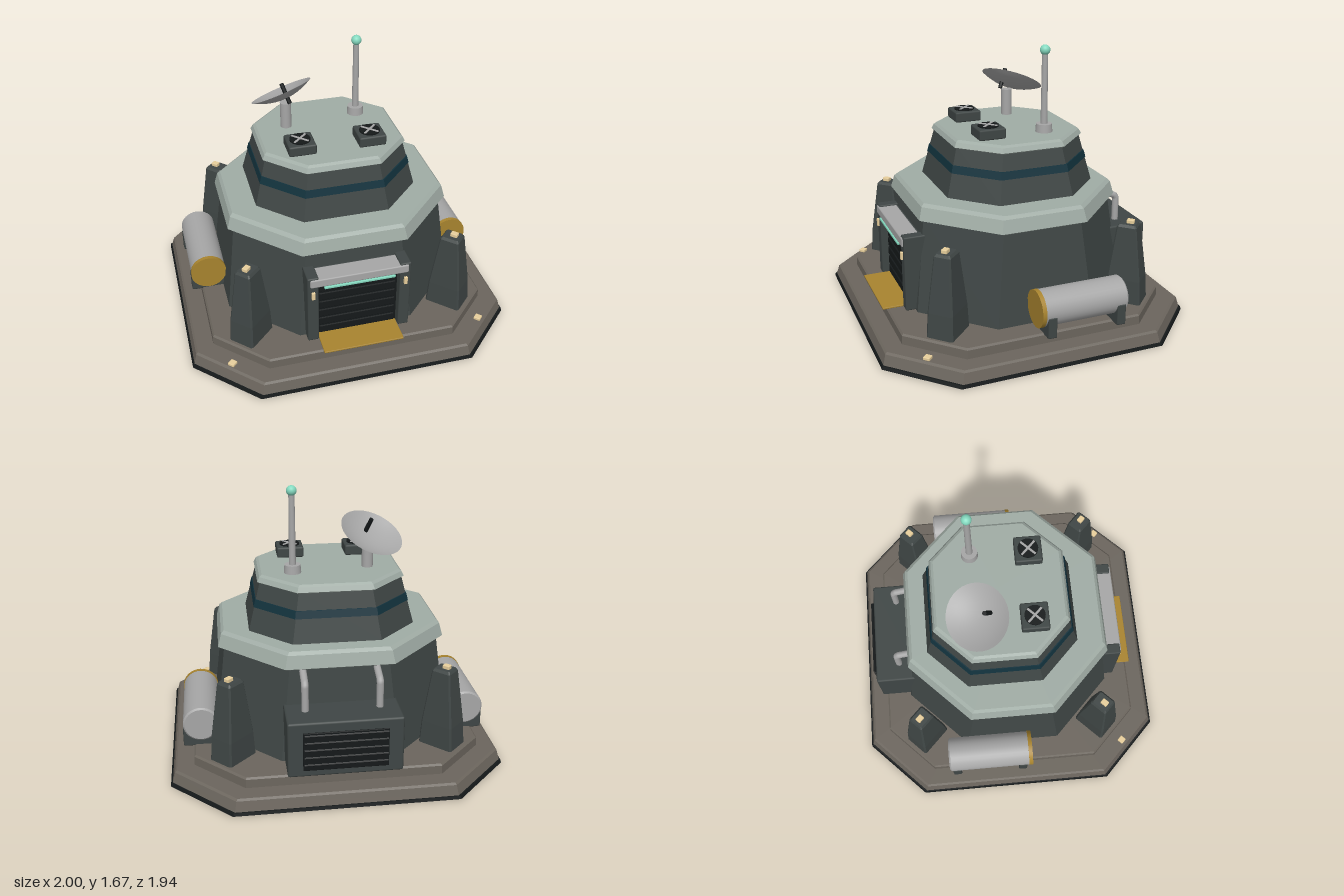
import * as THREE from 'three';
import { RoundedBoxGeometry } from 'three/addons/geometries/RoundedBoxGeometry.js';

const mat = (color, extra = {}) => {
  const m = new THREE.MeshStandardMaterial(extra);
  m.color.setHex(color);
  return m;
};
const flat = { flatShading: true };
const M = {
  wall: mat(0x3f4645, flat), trim: mat(0xa0aca5, flat), stone: mat(0x6b655d, flat),
  black: mat(0x15191a, flat), band: mat(0x12323d, flat), metal: mat(0xa6a6a6),
  dark: mat(0x3f4645), gold: mat(0xa8842f), glow: mat(0x84d9bf), lamp: mat(0xe8cf9c),
  dish: mat(0xa6a6a6, { side: THREE.DoubleSide }),
};

// Stack of chamfered rectangles; each level is [y, halfX, halfZ, chamfer]
function loft(levels) {
  const rings = levels.map(([y, w, d, c]) => [
    [w, d - c], [w - c, d], [c - w, d], [-w, d - c],
    [-w, c - d], [c - w, -d], [w - c, -d], [w, c - d],
  ].map(([x, z]) => [x, y, z]));
  const pos = [];
  const n = 8, top = rings.length - 1;
  for (let i = 0; i < n; i++) {
    const j = (i + 1) % n;
    for (let k = 0; k < top; k++) {
      const a = rings[k][i], b = rings[k][j], c = rings[k + 1][j], d = rings[k + 1][i];
      pos.push(...a, ...d, ...c, ...a, ...c, ...b);
    }
    pos.push(0, levels[top][0], 0, ...rings[top][j], ...rings[top][i]);
    pos.push(0, levels[0][0], 0, ...rings[0][i], ...rings[0][j]);
  }
  const g = new THREE.BufferGeometry();
  g.setAttribute('position', new THREE.Float32BufferAttribute(pos, 3));
  g.computeVertexNormals();
  return g;
}

export function createModel() {
  const root = new THREE.Group();
  const add = (name, geo, material, x = 0, y = 0, z = 0, parent = root) => {
    const m = new THREE.Mesh(geo, material);
    m.name = name;
    m.position.set(x, y, z);
    parent.add(m);
    return m;
  };
  const group = (name, x = 0, y = 0, z = 0) => {
    const g = new THREE.Group();
    g.name = name;
    g.position.set(x, y, z);
    root.add(g);
    return g;
  };
  const box = (w, h, d, r = 0.008) => new RoundedBoxGeometry(w, h, d, 1, r);
  const cyl = (r, h, r2 = r, s = 24) => new THREE.CylinderGeometry(r2, r, h, s);

  // Foundation
  add('foundationRim', loft([[0.002, 1, 0.97, 0.35], [0.02, 0.995, 0.965, 0.35]]), M.black);
  add('foundation', loft([[0, 0.98, 0.95, 0.345], [0.02, 0.988, 0.958, 0.35],
    [0.08, 0.972, 0.942, 0.345], [0.09, 0.96, 0.93, 0.34]]), M.stone);
  add('upperStep', loft([[0.09, 0.86, 0.83, 0.29], [0.142, 0.858, 0.828, 0.29], [0.152, 0.848, 0.818, 0.285]]), M.stone);

  // Main building and roofs
  add('mainWalls', loft([[0.15, 0.72, 0.67, 0.37], [0.72, 0.65, 0.6, 0.36]]), M.wall);
  add('lowerRoof', loft([[0.71, 0.675, 0.62, 0.37], [0.718, 0.687, 0.632, 0.37],
    [0.795, 0.667, 0.613, 0.365], [0.813, 0.65, 0.595, 0.36]]), M.trim);
  add('towerWalls', loft([[0.81, 0.5, 0.47, 0.24], [1.11, 0.424, 0.394, 0.21]]), M.wall, 0, 0, -0.03);
  add('windowBand', loft([[0.955, 0.467, 0.437, 0.225], [1, 0.456, 0.426, 0.22]]), M.band, 0, 0, -0.03);
  add('upperRoof', loft([[1.098, 0.432, 0.402, 0.215], [1.105, 0.44, 0.41, 0.215],
    [1.133, 0.427, 0.397, 0.21], [1.145, 0.412, 0.382, 0.205]]), M.trim, 0, 0, -0.03);

  // Corner buttresses with lamps
  for (const sx of [-1, 1]) for (const sz of [-1, 1]) {
    const g = group('cornerButtress', sx * 0.628, 0, sz * 0.572);
    g.rotation.y = Math.atan2(sx, sz);
    add('buttress', loft([[0.15, 0.083, 0.112, 0.01], [0.3, 0.079, 0.102, 0.01],
      [0.63, 0.053, 0.06, 0.008], [0.645, 0.042, 0.05, 0.006]]), M.wall, 0, 0, 0, g);
    add('buttressLamp', box(0.036, 0.025, 0.045, 0.005), M.lamp, 0, 0.655, 0.012, g);
  }
  // Ground lamps at the front corners
  for (const s of [-1, 1]) {
    add('groundLamp', box(0.042, 0.02, 0.042, 0.005), M.lamp, s * 0.775, 0.098, 0.74).rotation.y = Math.PI / 4;
  }

  // Entrance
  const door = group('entrance');
  add('doorPanel', box(0.5, 0.41, 0.1), M.black, 0, 0.355, 0.63, door);
  for (let i = 0; i < 6; i++) add('doorSlat', box(0.47, 0.052, 0.014, 0.005), M.black, 0, 0.19 + i * 0.063, 0.682, door);
  for (const s of [-1, 1]) {
    add('doorPillar', box(0.068, 0.47, 0.16), M.dark, s * 0.28, 0.387, 0.65, door);
    add('pillarLamp', box(0.022, 0.05, 0.018, 0.004), M.lamp, s * 0.28, 0.5, 0.735, door);
  }
  add('doorLintel', box(0.5, 0.07, 0.13), M.dark, 0, 0.575, 0.64, door);
  add('doorHeader', box(0.595, 0.055, 0.12), M.metal, 0, 0.585, 0.678, door);
  add('doorLight', box(0.43, 0.016, 0.025, 0.004), M.glow, 0, 0.549, 0.73, door);
  add('threshold', box(0.49, 0.012, 0.18, 0.004), M.gold, 0, 0.156, 0.765, door);

  // Side tanks on cradles
  for (const s of [-1, 1]) {
    const g = group('sideTank', s * 0.81, 0.293, 0);
    const prof = [[0, -0.43], [0.098, -0.43], [0.108, -0.42], [0.108, 0.09]].map(p => new THREE.Vector2(...p));
    const shell = prof.flatMap((p, i) => (i && i < 3 ? [p, p.clone()] : [p]));
    add('tank', new THREE.LatheGeometry(shell, 32), M.metal, 0, 0, 0, g).rotation.x = Math.PI / 2;
    add('tankCap', cyl(0.111, 0.025, 0.111, 32), M.gold, 0, 0, 0.1, g).rotation.x = Math.PI / 2;
    for (const z of [0.05, -0.385]) {
      add('tankCradle', box(0.2, 0.1, 0.055), M.dark, 0, -0.1, z, g);
      for (const e of [-1, 1]) add('cradleHorn', box(0.028, 0.13, 0.055), M.dark, e * 0.096, -0.083, z, g);
    }
  }

  // Rear machinery housing with louvres and pipes
  const rear = group('rearHousing');
  add('housing', box(0.664, 0.34, 0.3, 0.012), M.dark, 0, 0.324, -0.71, rear);
  add('ventPanel', box(0.49, 0.24, 0.012, 0.004), M.black, 0, 0.315, -0.86, rear);
  for (let i = 0; i < 5; i++) {
    add('louvre', box(0.48, 0.012, 0.034, 0.003), M.black, 0, 0.235 + i * 0.046, -0.869, rear).rotation.x = 0.45;
  }
  for (const s of [-1, 1]) {
    const path = new THREE.CurvePath();
    const pts = [[0.7, -0.58], [0.662, -0.695], [0.645, -0.708], [0.48, -0.708]]
      .map(([y, z]) => new THREE.Vector3(s * 0.215, y, z));
    for (let i = 0; i < 3; i++) path.add(new THREE.LineCurve3(pts[i], pts[i + 1]));
    add('coolantPipe', new THREE.TubeGeometry(path, 40, 0.021, 12), M.metal, 0, 0, 0, rear);
  }

  // Roof fans
  for (const s of [-1, 1]) {
    const g = group('roofFan', s * 0.213, 1.145, 0.165);
    add('fanHousing', box(0.166, 0.065, 0.166, 0.01), M.dark, 0, 0.033, 0, g);
    add('fanWell', cyl(0.062, 0.012), M.black, 0, 0.068, 0, g);
    for (const a of [-1, 1]) add('fanBlade', box(0.12, 0.008, 0.014, 0.003), M.metal, 0, 0.075, 0, g).rotation.y = a * Math.PI / 4;
  }

  // Antenna mast
  const mast = group('antenna', 0.227, 1.145, -0.188);
  add('mastBase', cyl(0.052, 0.05, 0.048), M.metal, 0, 0.025, 0, mast);
  add('mast', cyl(0.021, 0.47, 0.018, 16), M.metal, 0, 0.25, 0, mast);
  add('beacon', new THREE.SphereGeometry(0.031, 20, 14), M.glow, 0, 0.495, 0, mast);

  // Tilted dish on a post
  add('dishPost', cyl(0.034, 0.17), M.metal, -0.233, 1.225, -0.13);
  const dish = group('dish', -0.25, 1.368, -0.173);
  dish.quaternion.setFromUnitVectors(new THREE.Vector3(0, 1, 0), new THREE.Vector3(-0.34, 1, -0.45).normalize());
  const bowl = [];
  for (let i = 0; i <= 8; i++) bowl.push(new THREE.Vector2(0.195 * i / 8, 0.055 * ((i / 8) ** 2 - 1)));
  add('dishBowl', new THREE.LatheGeometry(bowl, 36), M.dish, 0, 0, 0, dish);
  const feed = add('dishFeed', cyl(0.013, 0.13, 0.013, 12), M.black, -0.235, 1.38, -0.105);
  feed.quaternion.copy(dish.quaternion);

  return root;
}
